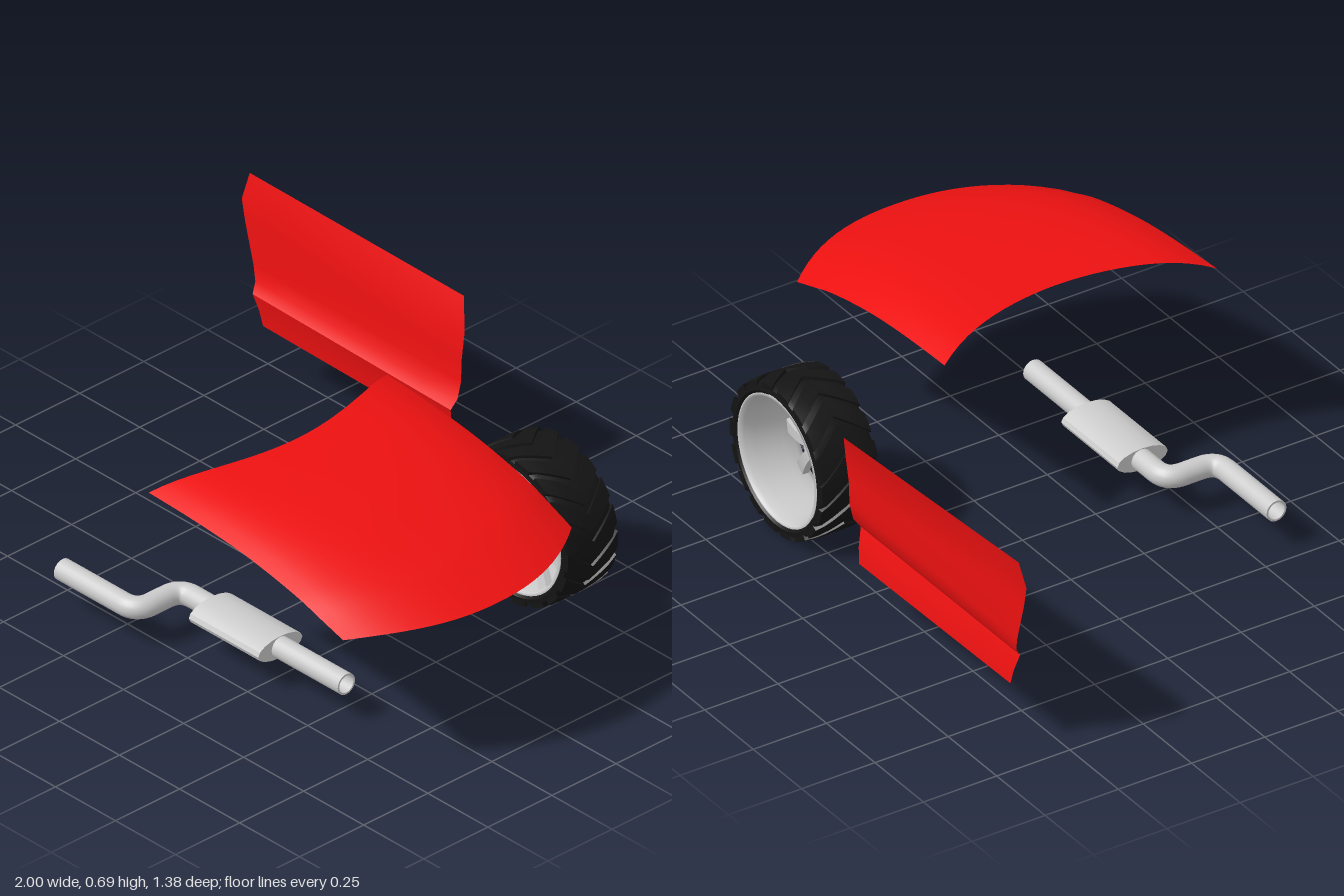
import * as THREE from 'three';
import { mergeGeometries, toCreasedNormals } from 'three/addons/utils/BufferGeometryUtils.js';

const V = (x, y, z) => new THREE.Vector3(x, y, z);
const grey = new THREE.MeshStandardMaterial({ color: 0xcccccc, side: THREE.DoubleSide });
const red = new THREE.MeshStandardMaterial({ color: 0xee1111, side: THREE.DoubleSide });
const black = new THREE.MeshStandardMaterial({ color: 0x141414 });

function part(parent, name, geometry, material) {
  const mesh = new THREE.Mesh(geometry, material);
  mesh.name = name;
  parent.add(mesh);
  return mesh;
}

// Open sheet from a rule fn(u, v) with u, v in 0..1
function sheet(fn, nu, nv) {
  const pos = [], index = [];
  for (let j = 0; j <= nv; j++) {
    for (let i = 0; i <= nu; i++) {
      pos.push(...fn(i / nu, j / nv).toArray());
      if (i < nu && j < nv) {
        const a = j * (nu + 1) + i, b = a + nu + 1;
        index.push(a, b, a + 1, b, b + 1, a + 1);
      }
    }
  }
  const g = new THREE.BufferGeometry();
  g.setAttribute('position', new THREE.Float32BufferAttribute(pos, 3));
  g.setIndex(index);
  g.computeVertexNormals();
  return g;
}

// Move every vertex of a geometry by a rule
function reshape(g, rule) {
  const p = g.attributes.position, v = new THREE.Vector3();
  for (let i = 0; i < p.count; i++) {
    rule(v.fromBufferAttribute(p, i));
    p.setXYZ(i, v.x, v.y, v.z);
  }
  g.computeVertexNormals();
  return g;
}

// Curved bonnet: blends a centre line into the lower side edges
function hoodGeometry() {
  const centre = new THREE.SplineCurve([[0, 0.697], [0.25, 0.685], [0.5, 0.655], [0.75, 0.605], [0.9, 0.56], [1, 0.525]]
    .map(p => new THREE.Vector2(...p)));
  const edge = new THREE.SplineCurve([[0, 0.655], [0.25, 0.643], [0.5, 0.62], [0.75, 0.578], [0.9, 0.538], [1, 0.51]]
    .map(p => new THREE.Vector2(...p)));
  return sheet((u, t) => {
    const s = 2 * u - 1, a = Math.abs(s);
    const back = 0.165 - 0.125 * a ** 1.9, front = 1 - 0.17 * a ** 2.2;
    const c = centre.getPoint(t), e = edge.getPoint(t);
    const k = a ** 5;
    return V(THREE.MathUtils.lerp(back, front, c.x), c.y * (1 - k) + e.y * k, 0.225 + s * (0.465 - 0.02 * t));
  }, 24, 20);
}

// Door skin: ruled between matching section points at both ends
function doorGeometry() {
  const left = [[-0.985, 0.685, -0.665], [-1, 0.6, -0.648], [-0.985, 0.53, -0.647], [-0.95, 0.4, -0.647],
    [-0.935, 0.355, -0.64], [-0.925, 0.325, -0.62], [-0.91, 0.27, -0.632], [-0.9, 0.222, -0.637]];
  const right = [[-0.12, 0.655, -0.69], [-0.085, 0.56, -0.66], [-0.087, 0.47, -0.65], [-0.088, 0.4, -0.649],
    [-0.09, 0.345, -0.637], [-0.095, 0.315, -0.615], [-0.11, 0.26, -0.632], [-0.12, 0.21, -0.637]];
  const n = left.length - 1;
  return toCreasedNormals(sheet((u, v) => {
    const r = Math.round(v * n);
    return V(...left[r]).lerp(V(...right[r]), u);
  }, 6, n), 0.6);
}

// Wheel centred on its own axle along z, outer face at +z
function buildWheel() {
  const wheel = new THREE.Group();
  wheel.name = 'wheel';
  const lathe = pts => new THREE.LatheGeometry(pts.map(p => new THREE.Vector2(...p)), 48).rotateX(Math.PI / 2);

  const tyre = lathe([[0.2, -0.085], [0.213, -0.099], [0.228, -0.096], [0.236, -0.08], [0.237, 0],
    [0.236, 0.08], [0.228, 0.096], [0.213, 0.099], [0.2, 0.085], [0.2, -0.085]]);
  part(wheel, 'tyre', toCreasedNormals(tyre, 0.7), black);

  // V-shaped tread blocks bent around the tyre
  const blocks = [], count = 18;
  for (let i = 0; i < count; i++) {
    for (const side of [1, -1]) {
      blocks.push(reshape(new THREE.BoxGeometry(1, 1, 1, 2, 1, 4), v => {
        const w = v.z + 0.5;
        const angle = i / count * Math.PI * 2 + 0.32 * w - side * v.x * 0.24;
        const r = 0.23 + 0.016 * (v.y + 0.5) - 0.006 * w ** 4;
        v.set(r * Math.cos(angle), r * Math.sin(angle), side * w * 0.098);
      }));
    }
  }
  part(wheel, 'tread', toCreasedNormals(mergeGeometries(blocks), 0.6), black);

  // Deep rim barrel, open at both ends
  const rim = lathe([[0.205, -0.094], [0.196, -0.096], [0.192, -0.08], [0.186, -0.05],
    [0.184, 0.04], [0.192, 0.08], [0.196, 0.096], [0.205, 0.094]]);
  part(wheel, 'rim', rim, grey);

  // Dished spokes near the outer face
  for (let i = 0; i < 9; i++) {
    const spoke = reshape(new THREE.BoxGeometry(0.165, 1, 0.024, 6, 1, 1), v => {
      const u = v.x / 0.165 + 0.5;
      v.x = 0.025 + u * 0.165;
      v.y *= 0.026 + 0.014 * u;
      v.z += 0.045 + 0.03 * u * u;
    });
    part(wheel, 'spoke', toCreasedNormals(spoke, 0.5), grey).rotation.z = -Math.PI / 2 + i * Math.PI * 2 / 9;
  }
  part(wheel, 'hub', new THREE.CylinderGeometry(0.042, 0.048, 0.045, 24).rotateX(Math.PI / 2).translate(0, 0, 0.048), grey);
  wheel.position.set(0.413, 0.248, -0.47);
  return wheel;
}

// Hollow pipe along a path, with ring ends
function addPipe(parent, name, path, segments, openAt) {
  const r = 0.034, inner = 0.028;
  part(parent, name, new THREE.TubeGeometry(path, segments, r, 20), grey);
  part(parent, name + 'Bore', new THREE.TubeGeometry(path, segments, inner, 20), grey);
  const ring = new THREE.RingGeometry(inner, r, 20).rotateY(Math.PI / 2);
  part(parent, name + 'Lip', ring, grey).position.copy(path.getPoint(openAt));
}

function buildExhaust() {
  const exhaust = new THREE.Group();
  exhaust.name = 'exhaust';
  const y = 0.132, z1 = 0.576, z2 = 0.406;

  // Inlet pipe with a double bend
  const p = (x, z) => V(x, y, z);
  const bend = new THREE.CurvePath();
  bend.add(new THREE.LineCurve3(p(-0.44, z1), p(-0.185, z1)));
  bend.add(new THREE.QuadraticBezierCurve3(p(-0.185, z1), p(-0.13, z1), p(-0.13, z1 - 0.055)));
  bend.add(new THREE.LineCurve3(p(-0.13, z1 - 0.055), p(-0.13, z2 + 0.055)));
  bend.add(new THREE.QuadraticBezierCurve3(p(-0.13, z2 + 0.055), p(-0.13, z2), p(-0.075, z2)));
  bend.add(new THREE.LineCurve3(p(-0.075, z2), p(0.01, z2)));
  addPipe(exhaust, 'inletPipe', bend, 60, 0);

  // Flat oval silencer and straight tailpipe
  const silencer = new THREE.CylinderGeometry(1, 1, 0.29, 16).rotateZ(Math.PI / 2).scale(1, 0.036, 0.086);
  const body = part(exhaust, 'silencer', toCreasedNormals(silencer, 0.3), grey);
  body.position.set(0.145, y, 0.41);
  addPipe(exhaust, 'tailPipe', new THREE.LineCurve3(p(0.28, 0.41), p(0.565, 0.41)), 2, 1);
  return exhaust;
}

export function createModel() {
  const model = new THREE.Group();
  model.name = 'carParts';
  part(model, 'hood', hoodGeometry(), red);
  part(model, 'door', doorGeometry(), red);
  model.add(buildWheel(), buildExhaust());
  return model;
}
